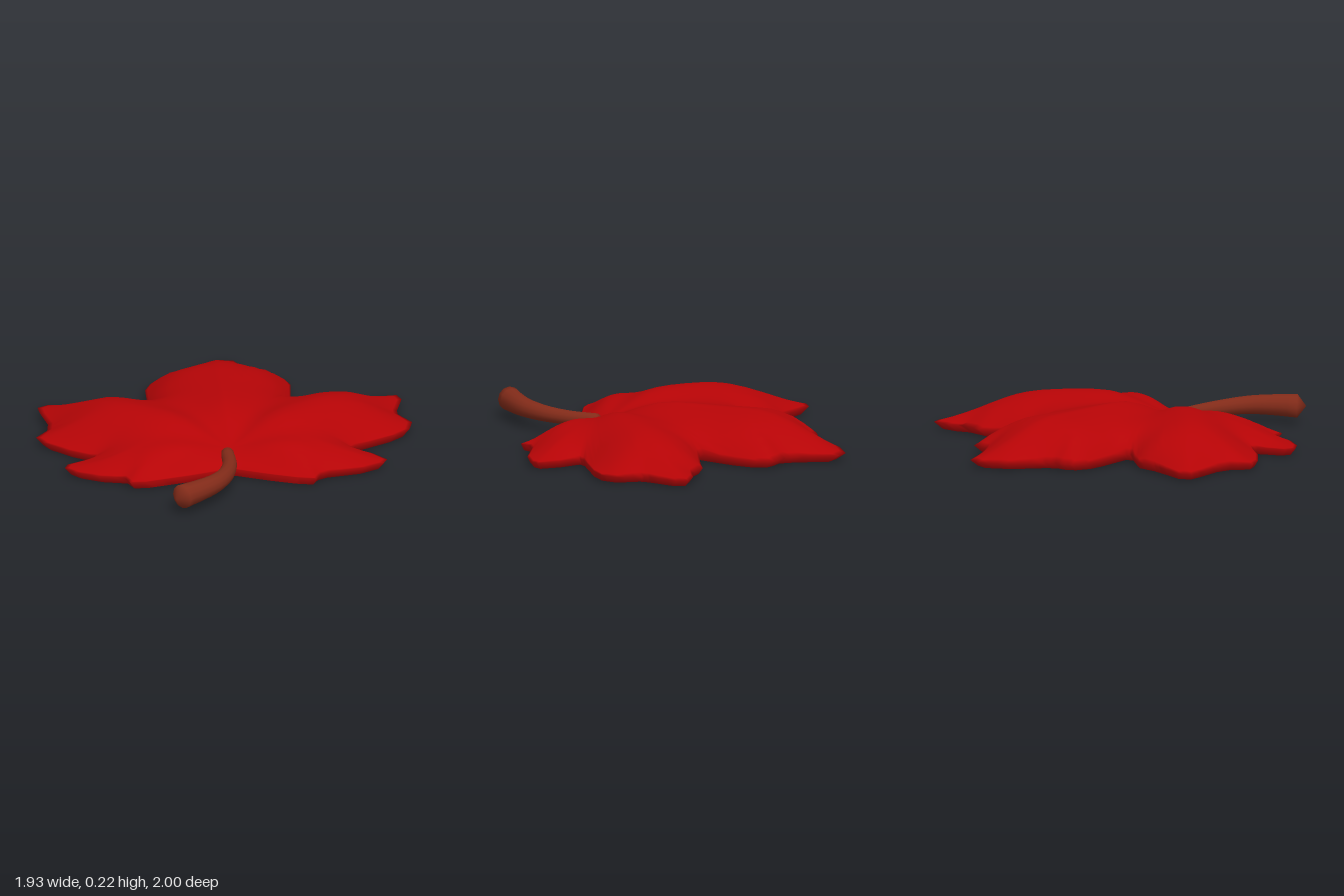
import * as THREE from 'three';
import { mergeVertices } from 'three/addons/utils/BufferGeometryUtils.js';

const red = new THREE.MeshStandardMaterial({ color: 0xb50406 });
red.name = 'leaf red';
const brown = new THREE.MeshStandardMaterial({ color: 0x822b19 });
brown.name = 'stem brown';

// Leaf outline (x, z), from the stem notch round by +x
const OUTLINE = [
  0.02, 0.49, 0.15, 0.54, 0.33, 0.61, 0.42, 0.63, 0.45, 0.57, 0.5, 0.54, 0.68, 0.5, 0.78, 0.44,
  0.8, 0.4, 0.73, 0.31, 0.635, 0.235, 0.66, 0.2, 0.87, 0.07, 0.945, 0, 0.965, -0.09, 0.9, -0.2,
  0.9, -0.25, 0.935, -0.4, 0.915, -0.46, 0.82, -0.45, 0.75, -0.42, 0.62, -0.43, 0.54, -0.39,
  0.4, -0.33, 0.365, -0.345, 0.385, -0.64, 0.36, -0.72, 0.31, -0.74, 0.25, -0.75, 0.2, -0.82,
  0.12, -0.985, 0.05, -1, -0.07, -0.92, -0.18, -0.77, -0.23, -0.735, -0.28, -0.73, -0.33, -0.7,
  -0.36, -0.62, -0.365, -0.36, -0.4, -0.34, -0.53, -0.42, -0.64, -0.42, -0.7, -0.43, -0.87, -0.465,
  -0.925, -0.43, -0.92, -0.36, -0.89, -0.2, -0.9, -0.12, -0.965, -0.03, -0.93, 0.04, -0.82, 0.15,
  -0.69, 0.24, -0.7, 0.27, -0.83, 0.34, -0.85, 0.39, -0.8, 0.45, -0.69, 0.51, -0.56, 0.54,
  -0.53, 0.61, -0.46, 0.61, -0.32, 0.57, -0.07, 0.5,
];
const CENTRE = new THREE.Vector2(0, 0.34);
const smooth = THREE.MathUtils.smoothstep;

// Straight outline edges, each cut into three
function outlinePoints() {
  const pts = [], n = OUTLINE.length;
  for (let i = 0; i < n; i += 2) {
    const a = new THREE.Vector2(OUTLINE[i], OUTLINE[i + 1]);
    const b = new THREE.Vector2(OUTLINE[(i + 2) % n], OUTLINE[(i + 3) % n]);
    for (let k = 0; k < 3; k++) pts.push(a.clone().lerp(b, k / 3));
  }
  return pts;
}

// Distance from a point to the closed outline
function edgeDistance(p, rim) {
  let best = Infinity;
  for (let i = 0; i < rim.length; i++) {
    const a = rim[i], b = rim[(i + 1) % rim.length];
    const dx = b.x - a.x, dz = b.y - a.y;
    const k = THREE.MathUtils.clamp(((p.x - a.x) * dx + (p.y - a.y) * dz) / (dx * dx + dz * dz), 0, 1);
    best = Math.min(best, Math.hypot(p.x - a.x - k * dx, p.y - a.y - k * dz));
  }
  return best;
}

// The rim lies low at the lobe tips and lifts a little in the bays
const rimHeight = (p) => 0.037 + 0.015 * (1 - smooth(Math.hypot(p.x, p.y + 0.05), 0.38, 0.65));

// Domed, pleated upper surface, dipping where the stem joins
function leafHeight(p, rim) {
  const low = rimHeight(p);
  const cap = 0.21 - 0.165 * smooth(Math.hypot(p.x * 0.93, (p.y + 0.1) * 1.05), 0.43, 1.04);
  const round = 1 - Math.exp(-edgeDistance(p, rim) / 0.095);
  const r = p.distanceTo(CENTRE);
  const angle = Math.atan2(Math.abs(p.x), CENTRE.y - p.y);
  const pleat = 0.018 * Math.cos(angle * 360 / 55) * smooth(r, 0.05, 0.4) - 0.012;
  const vein = 0.005 * Math.exp(-((p.x / 0.03) ** 2)) * smooth(r, 0.1, 0.4);
  const dip = 0.08 * Math.exp(-((r / 0.2) ** 2));
  return low + (Math.max(cap - low, 0.005) + pleat + vein - dip) * round;
}

// Closed shell: top from centre to rim, under-lip, then hollow underside back to centre
function leafGeometry() {
  const rim = outlinePoints(), n = rim.length, rings = 16;
  const rows = [];
  for (let i = 0; i <= rings; i++) rows.push({ t: 1 - (1 - i / rings) ** 1.3, kind: 'top' });
  rows.push({ t: 0.96, kind: 'lip' });
  for (let i = 11; i >= 0; i--) rows.push({ t: 0.92 * i / 11, kind: 'under' });

  const position = [], index = [];
  for (const { t, kind } of rows) {
    for (const edge of rim) {
      const p = CENTRE.clone().lerp(edge, t);
      const y = kind === 'lip' ? rimHeight(edge) - 0.037
        : leafHeight(p, rim) - (kind === 'under' ? 0.015 + 0.015 * t : 0);
      position.push(p.x, Math.max(y, 0), p.y);
    }
  }
  for (let r = 0; r < rows.length - 1; r++) {
    for (let j = 0; j < n; j++) {
      const a = r * n + j, b = r * n + (j + 1) % n, c = a + n, d = b + n;
      // The first and last rows are single points, so they need one triangle per step
      if (r > 0) index.push(a, r < rows.length - 2 ? d : c, b);
      if (r < rows.length - 2) index.push(a, c, d);
    }
  }
  // Rows meeting at the centre share one vertex
  let g = new THREE.BufferGeometry();
  g.setAttribute('position', new THREE.Float32BufferAttribute(position, 3));
  g.setIndex(index);
  g = mergeVertices(g, 1e-5);
  g.computeVertexNormals();
  return g;
}

// Curved tube, thickening towards its free end and closed at both ends
function stemGeometry() {
  const path = new THREE.CatmullRomCurve3([
    [-0.018, 0.085, 0.33], [-0.016, 0.086, 0.42], [-0.016, 0.086, 0.52], [-0.045, 0.089, 0.66],
    [-0.11, 0.094, 0.79], [-0.2, 0.094, 0.88], [-0.285, 0.092, 0.945], [-0.325, 0.091, 0.985],
  ].map((p) => new THREE.Vector3(...p)));
  const steps = 17, sides = 12;
  let g = new THREE.TubeGeometry(path, steps, 1, sides, false);
  const pos = g.attributes.position, v = new THREE.Vector3();
  for (let i = 0; i <= steps; i++) {
    const u = i / steps, c = path.getPointAt(u);
    const closed = i === 0 || i === steps;
    const radius = closed ? 0 : 0.034 + 0.031 * u ** 1.6;
    for (let j = 0; j <= sides; j++) {
      const k = i * (sides + 1) + j;
      v.fromBufferAttribute(pos, k).sub(c).multiplyScalar(radius).add(c);
      pos.setXYZ(k, v.x, v.y, v.z);
    }
  }
  g.deleteAttribute('uv');
  g.deleteAttribute('normal');
  g = mergeVertices(g, 1e-5);
  g.computeVertexNormals();
  return g;
}

export function createModel() {
  const model = new THREE.Group();
  model.name = 'mapleLeaf';
  const blade = new THREE.Mesh(leafGeometry(), red);
  blade.name = 'leafBlade';
  const stem = new THREE.Mesh(stemGeometry(), brown);
  stem.name = 'stem';
  model.add(blade, stem);
  return model;
}
